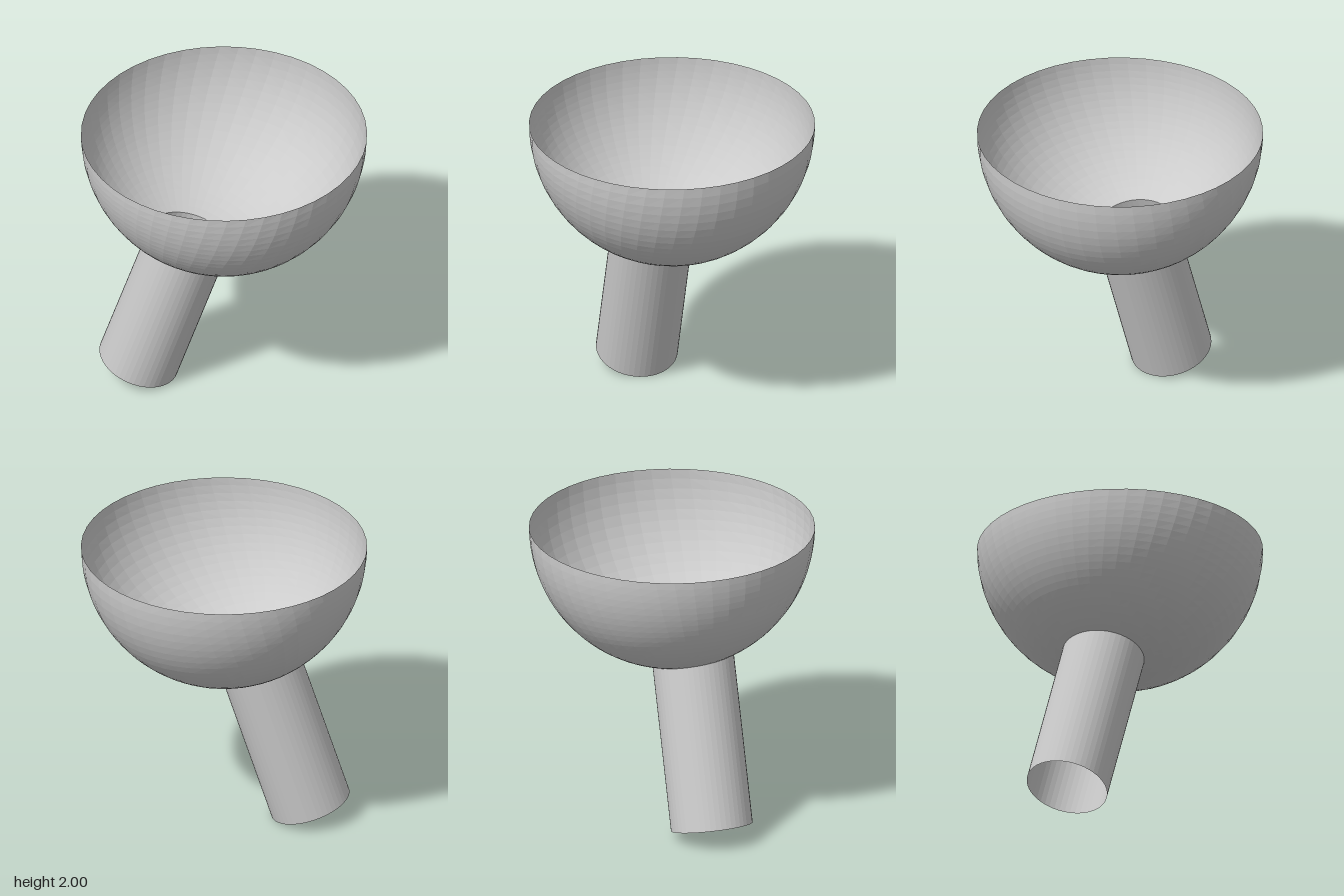
import * as THREE from 'three';

const SIDES = 48;
const R = 0.932;                                      // bowl radius
const TUBE_R = 0.268;
const center = new THREE.Vector3(0, 2, 0);            // middle of the bowl rim
const foot = new THREE.Vector3(-0.467, 0.082, 0.315); // middle of the tube's open end
const axis = new THREE.Vector3(0.285, 1, -0.149).normalize();
const across = new THREE.Vector3(1, 0, 0).projectOnPlane(axis).normalize();
const along = new THREE.Vector3().crossVectors(across, axis);

const material = new THREE.MeshStandardMaterial({
  color: 0xcccccc, flatShading: true, side: THREE.DoubleSide,
});

// Open surface from a rule point(angle, t), with t running upward from 0 to 1
function loft(name, rows, point) {
  const positions = [], index = [], stride = SIDES + 1;
  for (let j = 0; j <= rows; j++) {
    for (let i = 0; i <= SIDES; i++) {
      positions.push(...point(((i % SIDES) / SIDES) * Math.PI * 2, j / rows).toArray());
    }
  }
  for (let j = 0; j < rows; j++) {
    for (let i = 0; i < SIDES; i++) {
      const a = j * stride + i, b = a + stride;
      index.push(a, b, a + 1, a + 1, b, b + 1);
    }
  }
  const indexed = new THREE.BufferGeometry();
  indexed.setAttribute('position', new THREE.Float32BufferAttribute(positions, 3));
  indexed.setIndex(index);
  const geometry = indexed.toNonIndexed();
  geometry.computeVertexNormals();
  const mesh = new THREE.Mesh(geometry, material);
  mesh.name = name;
  return mesh;
}

// Point on the tube's lower edge
function footPoint(angle) {
  return foot.clone()
    .addScaledVector(across, TUBE_R * Math.cos(angle))
    .addScaledVector(along, TUBE_R * Math.sin(angle));
}

// Where the tube wall first meets the sphere of the bowl
function joint(angle) {
  const p = footPoint(angle);
  const rel = p.clone().sub(center);
  const b = rel.dot(axis);
  const distance = -b - Math.sqrt(b * b - rel.lengthSq() + R * R);
  return p.addScaledVector(axis, distance);
}

export function createModel() {
  const group = new THREE.Group();
  group.name = 'bowlWithTube';

  // Half-sphere bowl, swept along great arcs from the tube opening to the rim
  group.add(loft('bowl', 20, (angle, t) => {
    const from = joint(angle).sub(center).normalize();
    const to = new THREE.Vector3(Math.cos(angle), 0, Math.sin(angle));
    const arc = from.angleTo(to);
    return from.multiplyScalar(Math.sin((1 - t) * arc))
      .addScaledVector(to, Math.sin(t * arc))
      .multiplyScalar(R / Math.sin(arc))
      .add(center);
  }));

  // Slanted hollow tube, open into the bowl and at its foot
  group.add(loft('tube', 1, (angle, t) => footPoint(angle).lerp(joint(angle), t)));

  return group;
}
